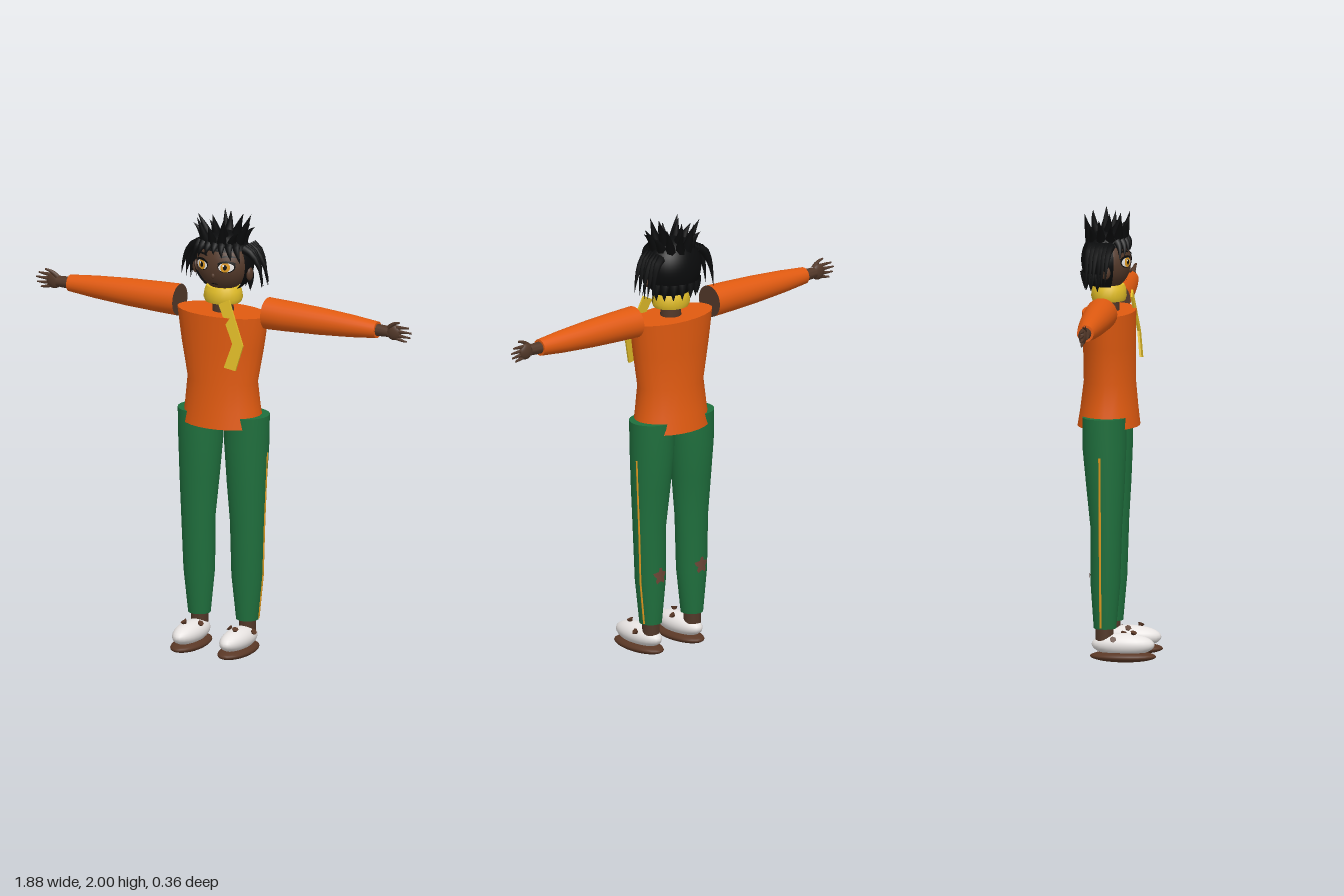
import * as THREE from 'three';
import { toCreasedNormals } from 'three/addons/utils/BufferGeometryUtils.js';

const material = (name, color, side = THREE.FrontSide) => {
  const m = new THREE.MeshStandardMaterial({ color, side });
  m.name = name;
  return m;
};

export function createModel() {
  const model = new THREE.Group();
  model.name = 'figure';
  const skin = material('brown skin', 0x523829);
  const orange = material('orange cloth', 0xe05a10);
  const green = material('green cloth', 0x1f6f3d);
  const yellow = material('yellow scarf', 0xe0bc28);
  const white = material('white shoe', 0xe8e4e2);
  const sole = material('brown sole', 0x5a3826);
  const black = material('black hair', 0x0a0b0c, THREE.DoubleSide);
  const amber = material('amber', 0xe09a20);
  const stain = material('worn brown patch', 0x6b4636);

  const add = (parent, name, geo, mat) => {
    const mesh = new THREE.Mesh(geo, mat);
    mesh.name = name;
    parent.add(mesh);
    return mesh;
  };

  // Elliptical cross-sections [y, cx, cz, rx, rz], listed from the top down
  const loft = (rows, sides = 24) => {
    const geo = new THREE.CylinderGeometry(1, 1, 1, sides, rows.length - 1);
    const p = geo.attributes.position;
    for (let i = 0; i < p.count; i++) {
      const [y, cx, cz, rx, rz] = rows[Math.round((0.5 - p.getY(i)) * (rows.length - 1))];
      p.setXYZ(i, cx + p.getX(i) * rx, y, cz + p.getZ(i) * rz);
    }
    return toCreasedNormals(geo, 0.8);
  };

  const ball = (x, y, z, rx, ry, rz) =>
    new THREE.SphereGeometry(1, 24, 16).scale(rx, ry, rz).translate(x, y, z);

  // Curved spike from a to c, bending through b, tapering to the end fraction
  const spike = (a, b, c, r, end = 0, steps = 6, sides = 7) => {
    const curve = new THREE.QuadraticBezierCurve3(
      new THREE.Vector3(...a), new THREE.Vector3(...b), new THREE.Vector3(...c));
    const geo = new THREE.TubeGeometry(curve, steps, r, sides);
    const p = geo.attributes.position, v = new THREE.Vector3();
    for (let i = 0; i < p.count; i++) {
      const t = Math.floor(i / (sides + 1)) / steps;
      const centre = curve.getPointAt(t);
      v.fromBufferAttribute(p, i).sub(centre).multiplyScalar(1 - (1 - end) * t).add(centre);
      p.setXYZ(i, v.x, v.y, v.z);
    }
    return geo;
  };

  // Jumper body, neck and scarf
  add(model, 'torso', loft([
    [1.55, 0, -0.037, 0.22, 0.117], [1.4, 0, -0.035, 0.197, 0.115],
    [1.24, 0, -0.034, 0.166, 0.114], [1.12, 0, -0.036, 0.178, 0.127],
    [1.04, 0, -0.038, 0.19, 0.138]]), orange);
  add(model, 'neck', loft([[1.66, 0, -0.037, 0.045, 0.045], [1.54, 0, -0.037, 0.048, 0.045]]), skin);
  add(model, 'scarf', loft([
    [1.665, 0, -0.038, 0.076, 0.068], [1.648, 0, -0.038, 0.084, 0.076],
    [1.615, 0, -0.038, 0.09, 0.079], [1.595, 0, -0.038, 0.082, 0.073]]), yellow);
  const tailShape = new THREE.Shape([
    [0.03, 1.605], [0.11, 1.44], [0.075, 1.33], [0.133, 1.322], [0.163, 1.435], [0.08, 1.63],
  ].map(([x, y]) => new THREE.Vector2(x, y)));
  const tail = new THREE.ExtrudeGeometry(tailShape, { depth: 0.009, bevelEnabled: false });
  const tp = tail.attributes.position;
  for (let i = 0; i < tp.count; i++) tp.setZ(i, tp.getZ(i) + 0.05 + (1.63 - tp.getY(i)) * 0.125);
  tail.computeVertexNormals();
  add(model, 'scarfTail', tail, yellow);

  // Limbs are made on the +x side and mirrored
  for (const side of [1, -1]) {
    const word = side > 0 ? 'left' : 'right';
    const arm = new THREE.Group();
    arm.name = word + 'Arm';
    arm.scale.x = side;
    model.add(arm);
    const along = rows => loft(rows.map(([x, r]) => [x, -1.565, -0.043, r, r])).rotateZ(-Math.PI / 2);
    add(arm, 'sleeve', along([[0.77, 0.037], [0.64, 0.05], [0.48, 0.061], [0.32, 0.068], [0.22, 0.071]]),
      [orange, orange, skin]);
    add(arm, 'wrist', along([[0.83, 0.024], [0.765, 0.027]]), skin);
    add(arm, 'palm', ball(0.85, 1.565, -0.044, 0.036, 0.036, 0.017), skin);
    [[1.588, 1.592, 0.927], [1.572, 1.571, 0.94], [1.556, 1.549, 0.934], [1.542, 1.529, 0.915]]
      .forEach(([y0, y1, x1]) => add(arm, 'finger',
        spike([0.86, y0, -0.044], [0.9, y1, -0.04], [x1, y1, -0.046], 0.01, 0.35), skin));
    add(arm, 'thumb', spike([0.83, 1.585, -0.04], [0.85, 1.61, -0.035], [0.888, 1.615, -0.033], 0.012, 0.35), skin);

    const leg = new THREE.Group();
    leg.name = word + 'Leg';
    leg.scale.x = side;
    model.add(leg);
    add(leg, 'trouserLeg', loft([
      [1.09, 0.116, -0.043, 0.102, 0.098], [0.95, 0.115, -0.043, 0.1, 0.097],
      [0.78, 0.118, -0.038, 0.09, 0.085], [0.6, 0.122, -0.034, 0.078, 0.07],
      [0.35, 0.12, -0.038, 0.071, 0.066], [0.15, 0.12, -0.04, 0.05, 0.05]]), green);
    add(leg, 'sideStripe', loft([[0.92, 0.212], [0.78, 0.206], [0.6, 0.198], [0.35, 0.19], [0.155, 0.169]]
      .map(([y, x]) => [y, x, -0.053, 0.004, 0.005]), 8), amber);

    // Worn patch wrapped around the calf
    const patch = new THREE.RingGeometry(0, 1, 18, 3);
    const pp = patch.attributes.position;
    for (let i = 0; i < pp.count; i++) {
      const jag = 1 + 0.3 * Math.sin(5 * Math.atan2(pp.getY(i), pp.getX(i)));
      const dx = -pp.getX(i) * jag * 0.03;
      const y = 0.38 + pp.getY(i) * jag * 0.032;
      pp.setXYZ(i, 0.12 + dx, y, -0.041 - 0.068 * Math.sqrt(1 - (dx / 0.072) ** 2));
    }
    patch.computeVertexNormals();
    add(leg, 'calfPatch', patch, stain);

    // Ankle and shoe
    add(leg, 'ankle', loft([[0.17, 0.12, -0.042, 0.037, 0.04], [0.09, 0.12, -0.042, 0.037, 0.04]]), skin);
    add(leg, 'shoeSole', ball(0.118, 0.026, 0.04, 0.07, 0.026, 0.147), sole);
    add(leg, 'shoeUpper', ball(0.118, 0.078, 0.04, 0.06, 0.05, 0.14), white);
    [[0.125, 0.122, 0.085, -0.3], [0.165, 0.1, 0.0, -0.9], [0.08, 0.112, 0.035, 0.7]].forEach(([x, y, z, tilt]) => {
      const stud = add(leg, 'shoeStud', new THREE.ConeGeometry(0.015, 0.03, 6), sole);
      stud.position.set(x, y, z);
      stud.rotation.set(0.3, 0, tilt + Math.PI);
    });
  }

  // Head with a narrower jaw
  const head = new THREE.Group();
  head.name = 'head';
  model.add(head);
  const jaw = y => 1 - 0.18 * Math.min(1, Math.max(0, (1.765 - y) / 0.12)) ** 2;
  const skull = ball(0, 1.765, -0.045, 0.127, 0.122, 0.105);
  const sp = skull.attributes.position;
  for (let i = 0; i < sp.count; i++) sp.setX(i, sp.getX(i) * jaw(sp.getY(i)));
  add(head, 'skull', skull, skin);

  // Thin details laid on the curve of the face
  const faceMark = (name, x, y, rx, ry, lift, mat, bend = 0) => {
    const geo = new THREE.RingGeometry(0, 1, 20, 4);
    const p = geo.attributes.position;
    for (let i = 0; i < p.count; i++) {
      const u = p.getX(i), px = x + u * rx, py = y + p.getY(i) * ry - bend * u * u;
      const s = 1 - (px / (0.127 * jaw(py))) ** 2 - ((py - 1.765) / 0.122) ** 2;
      p.setXYZ(i, px, py, -0.045 + 0.105 * Math.sqrt(Math.max(s, 0)) + lift);
    }
    geo.computeVertexNormals();
    add(head, name, geo, mat);
  };
  for (const s of [1, -1]) {
    faceMark('eyeOutline', s * 0.06, 1.776, 0.036, 0.027, 0.002, black);
    faceMark('eyeWhite', s * 0.06, 1.774, 0.032, 0.021, 0.0035, white);
    faceMark('iris', s * 0.058, 1.774, 0.02, 0.022, 0.005, amber);
    faceMark('pupil', s * 0.058, 1.775, 0.008, 0.012, 0.0065, black);
    faceMark('eyeGlint', s * 0.058 - 0.007, 1.783, 0.004, 0.005, 0.008, white);
    faceMark('upperLash', s * 0.061, 1.799, 0.038, 0.005, 0.006, black, 0.01);
    faceMark('brow', s * 0.062, 1.822, 0.032, 0.004, 0.004, black, 0.006);
    add(head, 'ear', ball(s * 0.134, 1.735, -0.035, 0.014, 0.03, 0.021), skin);
  }
  faceMark('mouth', 0, 1.69, 0.016, 0.0025, 0.003, black);
  add(head, 'nose', ball(0, 1.73, 0.056, 0.008, 0.012, 0.009), skin);

  // Hair: crown dome and a back shell that leaves the face open
  const hair = new THREE.Group();
  hair.name = 'hair';
  model.add(hair);
  const shell = (...arc) => new THREE.SphereGeometry(1, 28, 14, ...arc)
    .scale(0.139, 0.14, 0.114).translate(0, 1.775, -0.046);
  add(hair, 'hairCrown', shell(0, Math.PI * 2, 0, Math.PI * 0.34), black);
  add(hair, 'hairBack', shell(Math.PI / 2 + 1.17, Math.PI * 2 - 2.34, 0.8, Math.PI * 0.8 - 0.8), black);

  // Upright spikes around and on the crown
  const tips = [1.97, 1.93, 1.985, 1.95, 1.98, 1.94];
  for (let i = 0; i < 12; i++) {
    const a = i / 12 * Math.PI * 2 + 0.2, c = Math.cos(a), s = Math.sin(a), top = tips[i % 6];
    add(hair, 'crownSpike', spike([c * 0.08, 1.86, -0.046 + s * 0.07],
      [c * 0.1, 1.91, -0.046 + s * 0.085], [c * 0.145, top, -0.046 + s * 0.1], 0.027), black);
  }
  [[0.03, 0.01, 1.98], [-0.05, -0.03, 1.985], [0.09, -0.06, 2], [0, -0.11, 1.99]].forEach(([x, z, y]) =>
    add(hair, 'topSpike', spike([x * 0.6, 1.89, z * 0.6 - 0.02], [x * 0.7, 1.94, z], [x, y, z], 0.026), black));

  // Fringe tufts
  for (const x of [-0.1, -0.07, -0.035, 0, 0.035, 0.07, 0.1]) {
    const z = -0.046 + 0.1 * Math.sqrt(1 - (x / 0.14) ** 2);
    add(hair, 'fringeTuft', spike([x * 0.9, 1.868, z - 0.015], [x, 1.85, z + 0.006],
      [x * 1.18, 1.826 - Math.abs(x) * 0.35, z], 0.02), black);
  }

  // Side locks sweeping outwards and ragged ends at the nape
  for (const s of [1, -1]) {
    for (let i = 0; i < 6; i++) {
      const z = -0.015 - i * 0.018;
      add(hair, 'sideLock', spike([s * 0.115, 1.85, z], [s * (0.185 - i * 0.004), 1.83, z - 0.01],
        [s * (0.205 - (i % 3) * 0.014), 1.69 - (i % 3) * 0.014, z - 0.015], 0.021), black);
    }
    for (let i = 0; i < 4; i++) {
      const a = 0.2 + i * 0.36, x = s * Math.sin(a), z = -Math.cos(a);
      add(hair, 'napeTuft', spike([x * 0.115, 1.72, -0.046 + z * 0.095], [x * 0.125, 1.69, -0.046 + z * 0.1],
        [x * 0.12, 1.645, -0.046 + z * 0.098], 0.024), black);
    }
  }
  return model;
}
